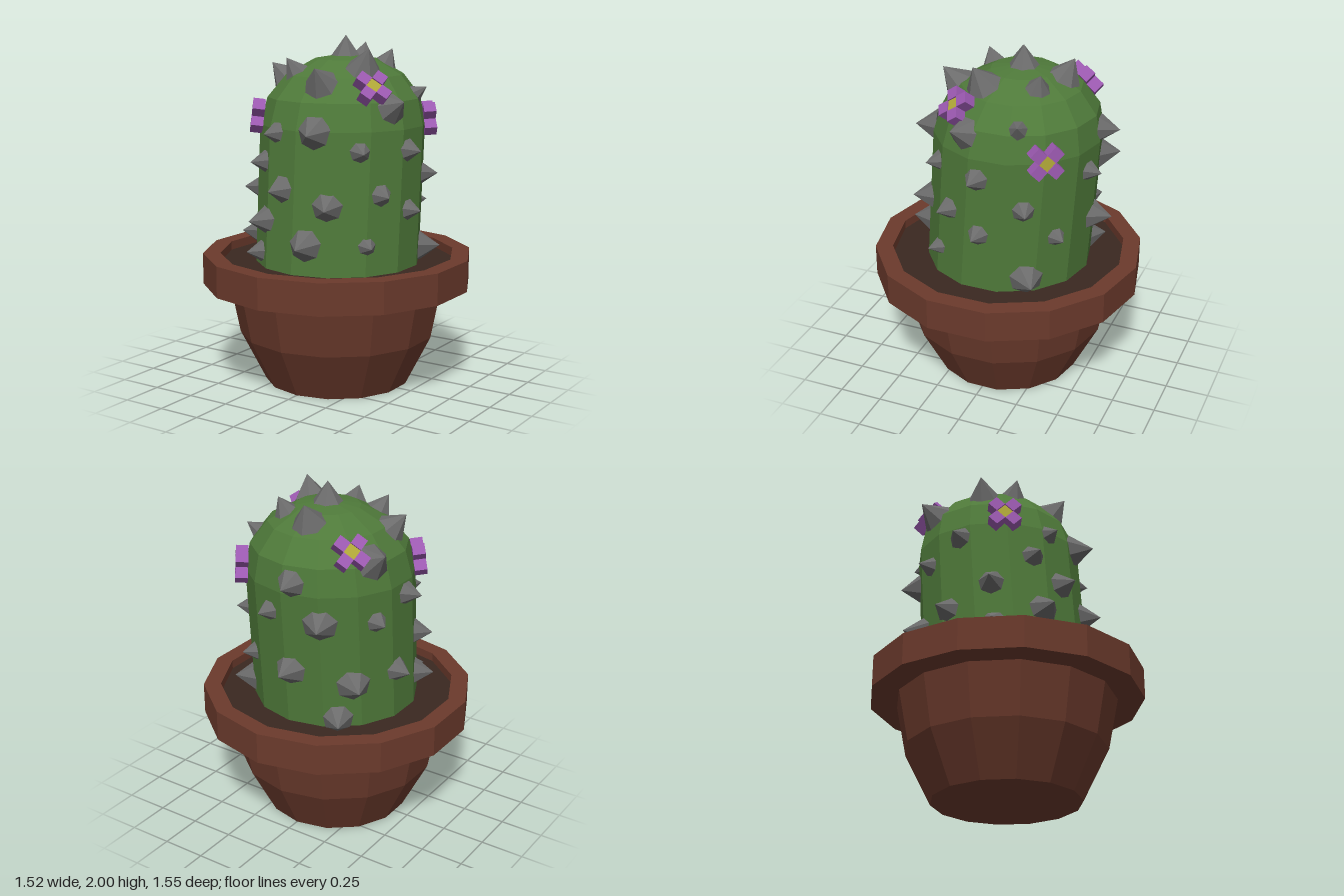
import * as THREE from 'three';

const SIDES = 14;
const rad = THREE.MathUtils.degToRad;
const mat = (color) => new THREE.MeshStandardMaterial({ color, flatShading: true });
const clay = mat(0x6b3a2c), soilMat = mat(0x3a2820), green = mat(0x4f7a3a);
const grey = mat(0x6b6b6b), purple = mat(0x9b59b0), yellow = mat(0xb0a838);

// Body measurements: straight wall up to SHOULDER, then an elliptical dome
const R = 0.475, SHOULDER = 1.5, DOME = 0.395;
const lean = (y) => -0.01 - 0.07 * (y - 0.76);

function lathe(points) {
  return new THREE.LatheGeometry(points.map(([r, y]) => new THREE.Vector2(r, y)), SIDES);
}

function add(parent, name, geometry, material) {
  const mesh = new THREE.Mesh(geometry, material);
  mesh.name = name;
  parent.add(mesh);
  return mesh;
}

// Stand an object on the body: heading around it, and a height on the wall or an angle up the dome
function place(object, heading, { y, up = 0 }) {
  const a = rad(heading), e = rad(up);
  const r = R * Math.cos(e) * 0.985;
  const py = y ?? SHOULDER + DOME * Math.sin(e);
  object.position.set(r * Math.sin(a), py, r * Math.cos(a) + lean(py));
  const normal = new THREE.Vector3(
    Math.cos(e) / R * Math.sin(a), Math.sin(e) / DOME, Math.cos(e) / R * Math.cos(a)).normalize();
  object.quaternion.setFromUnitVectors(new THREE.Vector3(0, 0, 1), normal);
  // keep the object's own "up" pointing up the body
  if (up < 89) {
    const right = new THREE.Vector3(Math.cos(a), 0, -Math.sin(a));
    const top = normal.clone().cross(right);
    object.quaternion.setFromRotationMatrix(new THREE.Matrix4().makeBasis(right, top, normal));
  }
}

// Wall spikes: heading in degrees, height, base radius
const WALL_SPIKES = [
  [-37, 0.79, 0.07], [-65, 0.86, 0.085], [-29, 0.98, 0.09], [9, 0.875, 0.1], [52, 0.875, 0.06],
  [261, 1.0, 0.08], [-65, 1.12, 0.08], [-11.5, 1.17, 0.085], [24, 1.09, 0.09], [61, 1.15, 0.07],
  [87, 1.05, 0.068], [117, 1.22, 0.07], [-34, 1.305, 0.072], [-20, 1.475, 0.065], [13, 1.49, 0.1],
  [45, 1.39, 0.065], [83, 1.385, 0.075], [275, 1.43, 0.075], [245, 1.33, 0.065], [206, 1.34, 0.1],
  [168, 1.37, 0.065], [187, 1.56, 0.08], [183, 1.04, 0.095], [142, 1.03, 0.06], [227, 0.97, 0.1],
  [215, 0.76, 0.095], [123, 0.79, 0.1],
];

// Dome spikes: heading, angle up the dome, base radius
const DOME_SPIKES = [
  [-69, 41, 0.09], [247, 25, 0.1], [-36, 50, 0.075], [11, 40, 0.1], [56, 56, 0.105],
  [69, 18, 0.09], [131, 60, 0.07], [188, 60, 0.095], [109, 27, 0.055], [0, 90, 0.085],
];

// Flowers: heading, angle up the dome
const FLOWERS = [[54, 33], [128, 3], [230, 33], [-53, 6]];

// Seven-sided spike pointing along +z, sunk a little into the body
function spike(size) {
  const h = size * 1.15 + 0.02;
  const geometry = new THREE.ConeGeometry(size, h, 7);
  geometry.rotateX(Math.PI / 2);
  geometry.translate(0, 0, h / 2 - 0.015);
  return new THREE.Mesh(geometry, grey);
}

// Four block petals in a diagonal cross round a block centre
function flower() {
  const group = new THREE.Group();
  group.name = 'flower';
  const w = 0.066;
  for (let i = 0; i < 4; i++) {
    const a = Math.PI / 4 + i * Math.PI / 2;
    const petal = add(group, 'petal', new THREE.BoxGeometry(w, w, 0.07), purple);
    petal.position.set(w * Math.cos(a), w * Math.sin(a), 0.025);
    petal.rotation.z = a;
  }
  const heart = add(group, 'flowerCentre', new THREE.BoxGeometry(w, w, 0.06), yellow);
  heart.position.z = 0.022;
  heart.rotation.z = Math.PI / 4;
  return group;
}

export function createModel() {
  const model = new THREE.Group();
  model.name = 'pottedCactus';

  // Pot with an overhanging rim
  add(model, 'pot', lathe([
    [0, 0], [0.42, 0], [0.567, 0.29], [0.625, 0.58], [0.777, 0.58],
    [0.777, 0.76], [0.677, 0.76], [0.677, 0.68],
  ]), clay);
  add(model, 'soil', new THREE.CylinderGeometry(0.676, 0.676, 0.05, SIDES), soilMat).position.y = 0.685;

  // Leaning body with a domed top
  const profile = [[R, 0.69], [R, 1.1]];
  for (let e = 0; e < 90; e += 22.5) {
    profile.push([R * Math.cos(rad(e)), SHOULDER + DOME * Math.sin(rad(e))]);
  }
  profile.push([0, SHOULDER + DOME]);
  const body = lathe(profile);
  const p = body.attributes.position;
  for (let i = 0; i < p.count; i++) p.setZ(i, p.getZ(i) + lean(p.getY(i)));
  add(model, 'cactusBody', body, green);

  // Spikes
  const spikes = new THREE.Group();
  spikes.name = 'spikes';
  model.add(spikes);
  const addSpike = (heading, where, size) => {
    const s = spike(size);
    s.name = 'spike';
    place(s, heading, where);
    spikes.add(s);
  };
  for (const [heading, y, size] of WALL_SPIKES) addSpike(heading, { y }, size);
  for (const [heading, up, size] of DOME_SPIKES) addSpike(heading, { up }, size);

  // Flowers
  for (const [heading, up] of FLOWERS) {
    const f = flower();
    place(f, heading, { up });
    model.add(f);
  }
  return model;
}
